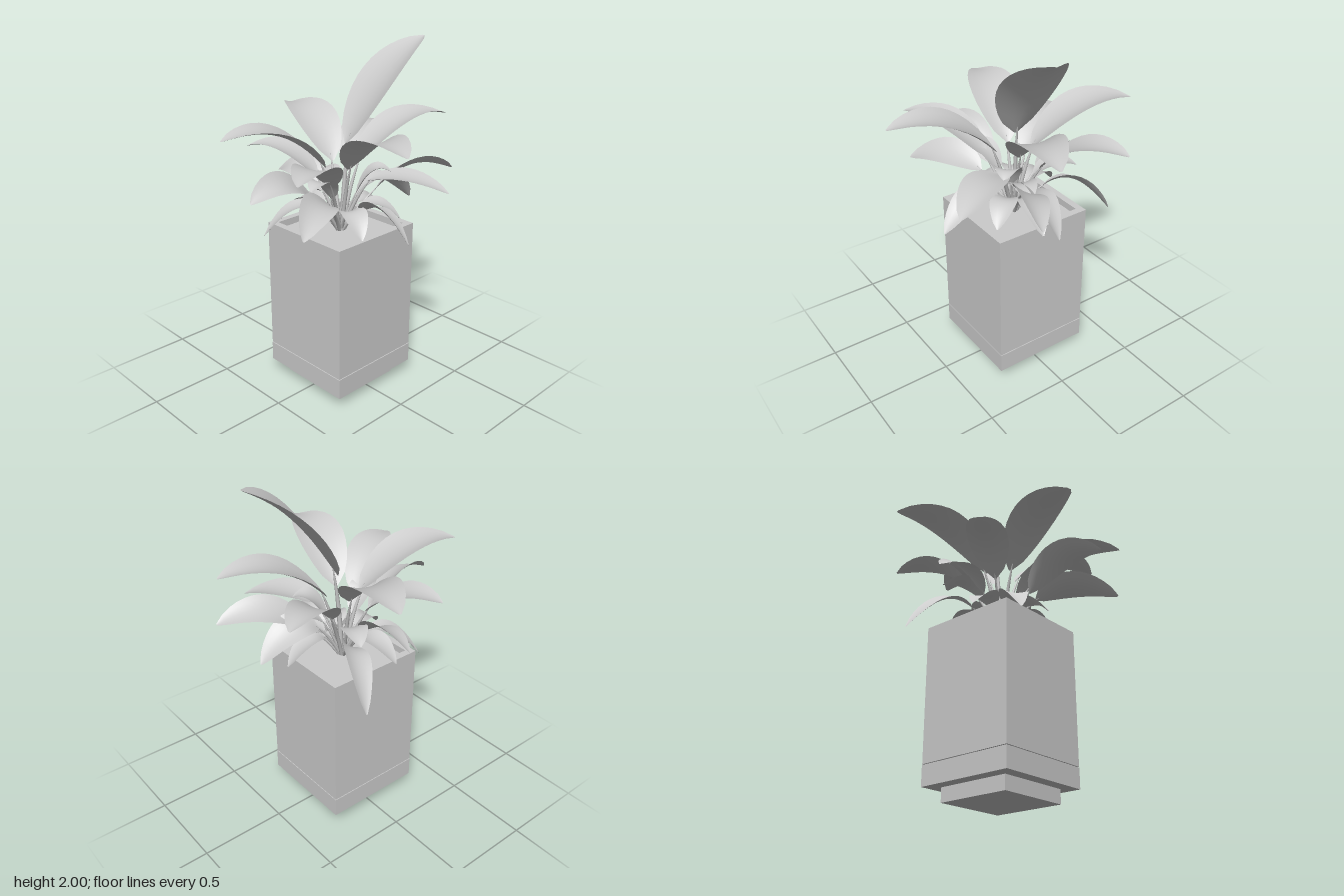
import * as THREE from 'three';

const grey = new THREE.MeshStandardMaterial({ color: 0xcccccc });
const leafMat = new THREE.MeshStandardMaterial({ color: 0xcccccc, side: THREE.DoubleSide });

// Cupped blade swept along an arching midrib and rolled about it
function bladeGeometry(curve, width, roll) {
  const rows = 13, cols = 7, pos = [], index = [];
  for (let i = 0; i < rows; i++) {
    const t = i / (rows - 1);
    const p = curve.getPoint(t), dir = curve.getTangent(t);
    const side = new THREE.Vector3(dir.z, 0, -dir.x).normalize().applyAxisAngle(dir, roll);
    const normal = new THREE.Vector3().crossVectors(dir, side).normalize();
    // Narrow at both ends, widest just before the middle
    const swell = Math.max(0, Math.sin(Math.PI * t ** 0.88)) ** 0.72;
    const half = (0.06 + 0.94 * swell) * width / 2;
    for (let j = 0; j < cols; j++) {
      const s = j / (cols - 1) * 2 - 1;
      const v = p.clone().addScaledVector(side, s * half)
        .addScaledVector(normal, (s * s - 0.3) * half * 0.22);
      pos.push(v.x, v.y, v.z);
      if (i < rows - 1 && j < cols - 1) {
        const a = i * cols + j, b = a + cols;
        index.push(a, a + 1, b, a + 1, b + 1, b);
      }
    }
  }
  const g = new THREE.BufferGeometry();
  g.setAttribute('position', new THREE.Float32BufferAttribute(pos, 3));
  g.setIndex(index);
  g.computeVertexNormals();
  return g;
}

// Round stalk that thins out where it meets the blade
function stemGeometry(curve, radius) {
  const rings = 8, sides = 6;
  const g = new THREE.TubeGeometry(curve, rings, radius, sides);
  const pos = g.attributes.position, v = new THREE.Vector3();
  for (let i = 0; i < pos.count; i++) {
    const t = Math.floor(i / (sides + 1)) / rings;
    v.fromBufferAttribute(pos, i).lerp(curve.getPointAt(t), 0.85 * t ** 3);
    pos.setXYZ(i, v.x, v.y, v.z);
  }
  return g;
}

// One leaf: start is the share of the reach where the blade begins, at height baseY
function makeLeaf([x, y, z], { start, baseY, rise, width, roll = 0 }) {
  const leaf = new THREE.Group();
  leaf.name = 'leaf';
  const at = (f, h) => new THREE.Vector3(x * f, h, z * f);
  const rib = new THREE.QuadraticBezierCurve3(
    at(start, baseY), at(start + (1 - start) * 0.45, Math.max(baseY, y) + rise), at(1, y));
  const blade = new THREE.Mesh(bladeGeometry(rib, width, roll), leafMat);
  blade.name = 'blade';
  const stalk = new THREE.QuadraticBezierCurve3(
    at(0.02, 0.93), at(start * 0.45, 0.93 + (baseY - 0.93) * 0.6), rib.getPoint(0.06));
  const stem = new THREE.Mesh(stemGeometry(stalk, 0.004 + width * 0.03), grey);
  stem.name = 'stem';
  leaf.add(blade, stem);
  return leaf;
}

// Leaf whorls from the top down, each with the tips of its leaves
function makeFoliage() {
  const foliage = new THREE.Group();
  foliage.name = 'foliage';
  const whorl = (style, tips) => tips.forEach((tip) => foliage.add(makeLeaf(tip, style)));

  // Single upright crown leaf
  whorl({ start: 0.06, baseY: 1.45, rise: -0.1, width: 0.345 }, [[0.52, 2, 0.13]]);

  // Four large leaves a quarter turn apart
  const quarterTurns = [0, 1, 2, 3].map((i) => {
    const a = 0.29 + i * Math.PI / 2;
    return [0.685 * Math.cos(a), 1.55, 0.685 * Math.sin(a)];
  });
  whorl({ start: 0.14, baseY: 1.33, rise: 0.12, width: 0.275 }, quarterTurns);

  // Middle leaves
  whorl({ start: 0.24, baseY: 1.25, rise: 0.1, width: 0.23 }, [
    [-0.61, 1.43, 0.34], [0.58, 1.44, -0.31], [-0.26, 1.39, -0.5], [0.3, 1.22, 0.53],
  ]);

  // Long lower leaves, all rolled the same way
  whorl({ start: 0.3, baseY: 1.16, rise: 0.15, width: 0.19, roll: -0.45 }, [
    [-0.67, 1.28, 0.05], [0.64, 1.24, 0.28], [-0.58, 1.14, 0.34],
    [-0.02, 1.19, -0.52], [0.51, 1.04, 0.07],
  ]);
  whorl({ start: 0.3, baseY: 1.09, rise: 0.15, width: 0.16, roll: -0.45 }, [
    [0.04, 0.98, 0.48], [0.25, 0.91, -0.5],
  ]);

  // Small inner leaves
  whorl({ start: 0.3, baseY: 1.16, rise: 0.1, width: 0.15 }, [
    [0.33, 1.2, 0.13], [0.15, 1.2, -0.33], [-0.31, 1.27, 0.1], [0.2, 1.29, 0.2],
  ]);

  // Low drooping leaves
  whorl({ start: 0.3, baseY: 1.08, rise: 0.1, width: 0.15 }, [
    [-0.13, 1, 0.3], [0.35, 0.97, 0.05], [0.22, 1.02, 0.26],
    [-0.36, 0.93, -0.25], [-0.3, 1.03, 0.06], [-0.1, 1, -0.34],
  ]);
  return foliage;
}

// Square wall with an open middle, standing on y = 0
function squareRing(outer, inner, height) {
  const square = (Kind, r) => new Kind([[-r, -r], [r, -r], [r, r], [-r, r]]
    .map(([x, y]) => new THREE.Vector2(x, y)));
  const shape = square(THREE.Shape, outer);
  shape.holes.push(square(THREE.Path, inner));
  return new THREE.ExtrudeGeometry(shape, { depth: height, bevelEnabled: false }).rotateX(-Math.PI / 2);
}

export function createModel() {
  const model = new THREE.Group();
  model.name = 'pottedPlant';
  const add = (name, geometry, y) => {
    const mesh = new THREE.Mesh(geometry, grey);
    mesh.name = name;
    mesh.position.y = y;
    model.add(mesh);
  };

  // Square planter on a recessed plinth, with a fine seam above the lower band
  add('plinth', new THREE.BoxGeometry(0.44, 0.08, 0.44), 0.04);
  add('lowerBand', new THREE.BoxGeometry(0.588, 0.116, 0.588), 0.138);
  add('potWalls', squareRing(0.293, 0.252, 0.785), 0.2);
  add('soil', new THREE.BoxGeometry(0.506, 0.75, 0.506), 0.57);

  model.add(makeFoliage());
  return model;
}
